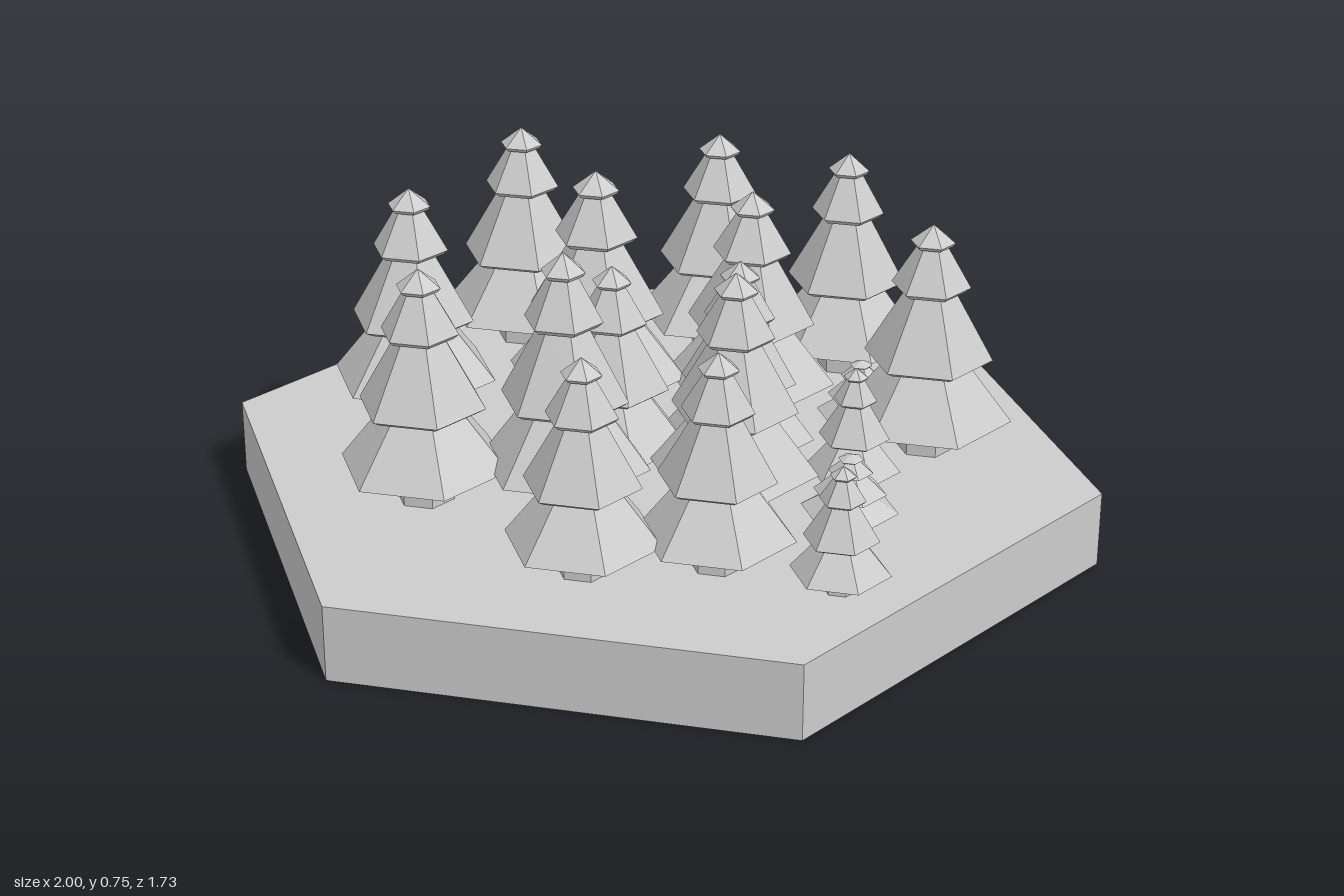
import * as THREE from 'three';

const GROUND = 0.175;

// Unit tree outline: [radius, height], ground to tip
const TRUNK = [[0.34, 0], [0.34, 0.14]];
const FOLIAGE = [
  [0.33, 0.135], [0.89, 0.135], [1, 0.15],        // lower tier
  [0.45, 0.4], [0.66, 0.4], [0.75, 0.42],         // middle tier
  [0.28, 0.715], [0.4, 0.715], [0.46, 0.735],     // upper tier
  [0.17, 0.91], [0.23, 0.91], [0.26, 0.925],      // cap
  [0, 1],
];

// Trees: [x, z, radius, height above ground]
const TREES = [
  [-0.46, -0.525, 0.195, 0.54], [0.01, -0.59, 0.193, 0.54], [0.33, -0.535, 0.185, 0.54],
  [-0.6, -0.087, 0.193, 0.54], [-0.19, -0.19, 0.21, 0.58], [0.16, -0.247, 0.197, 0.54],
  [0.585, -0.147, 0.193, 0.54], [0.19, 0.03, 0.172, 0.488], [-0.075, 0.122, 0.17, 0.488],
  [-0.14, 0.283, 0.19, 0.58], [0.22, 0.215, 0.187, 0.54], [-0.44, 0.35, 0.19, 0.54],
  [-0.02, 0.592, 0.17, 0.488], [0.245, 0.505, 0.17, 0.488],
  // saplings
  [0.42, -0.235, 0.1, 0.155], [0.46, 0.082, 0.105, 0.284], [0.48, 0.24, 0.107, 0.155],
  [0.515, 0.55, 0.107, 0.284], [-0.19, -0.49, 0.028, 0.155],
];

export function createModel() {
  const model = new THREE.Group();
  const material = new THREE.MeshStandardMaterial({ color: 0xcccccc, flatShading: true });

  // Six-sided lathe with corners on the x axis
  const hexLathe = (points) => new THREE.LatheGeometry(
    points.map(([r, y]) => new THREE.Vector2(r, y)), 6, Math.PI / 6);

  // Hexagonal ground slab
  const ground = new THREE.Mesh(
    new THREE.CylinderGeometry(1, 1, GROUND, 6, 1, false, Math.PI / 6), material);
  ground.position.y = GROUND / 2;
  ground.name = 'ground';
  model.add(ground);

  // Pine trees
  const trunkGeometry = hexLathe(TRUNK);
  const foliageGeometry = hexLathe(FOLIAGE);
  TREES.forEach(([x, z, radius, height], i) => {
    const tree = new THREE.Group();
    tree.name = `tree${i + 1}`;
    const trunk = new THREE.Mesh(trunkGeometry, material);
    trunk.name = 'trunk';
    const foliage = new THREE.Mesh(foliageGeometry, material);
    foliage.name = 'foliage';
    tree.add(trunk, foliage);
    tree.position.set(x, GROUND, z);
    tree.scale.set(radius, height, radius);
    model.add(tree);
  });

  return model;
}
